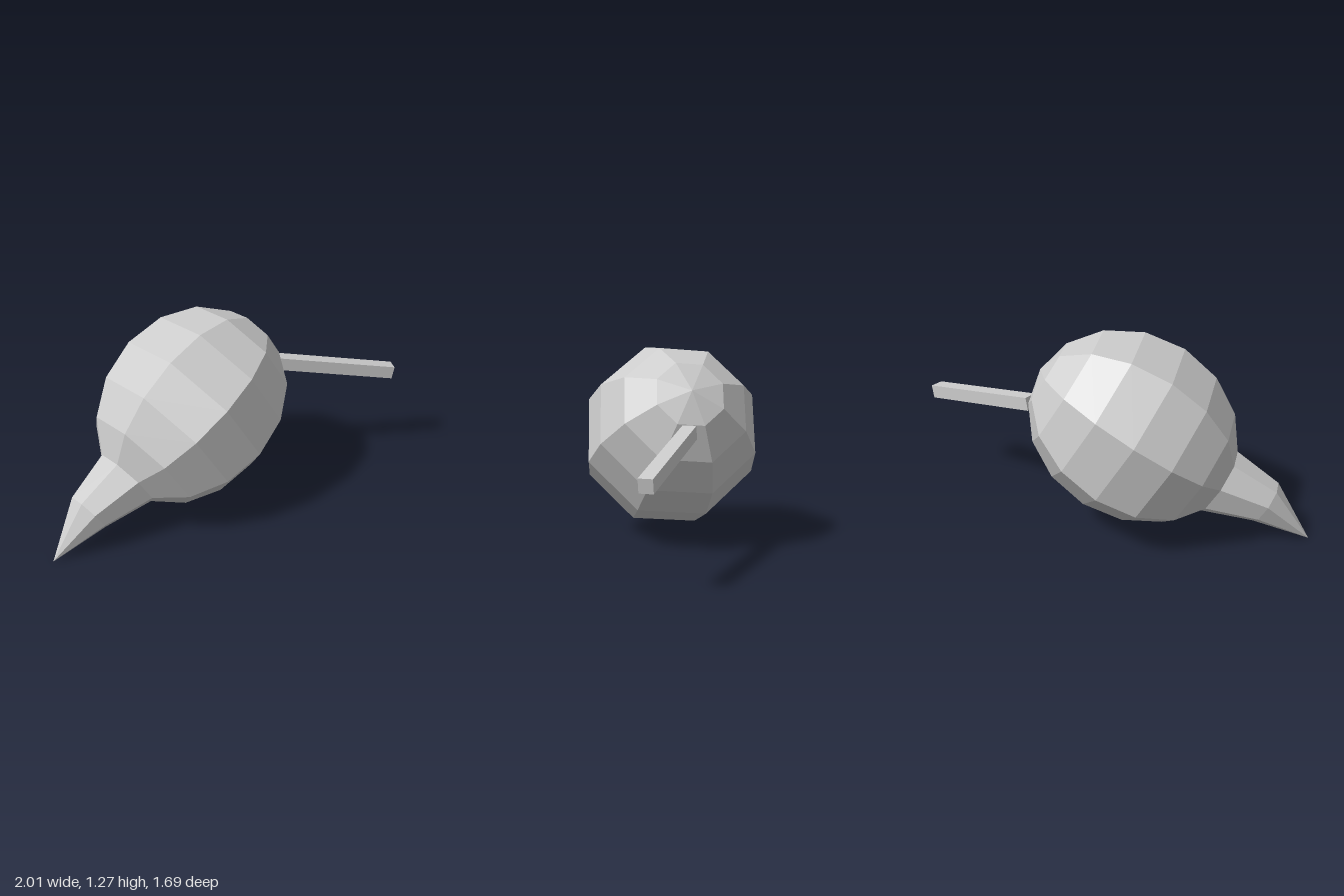
import * as THREE from 'three';

const SIDES = 8;
const PHASE = THREE.MathUtils.degToRad(17);
const CENTER = new THREE.Vector3(-0.283, 0.683, -0.02);

// Tilted frame: axis runs from the pointed tip to the rounded far end
const AXIS = new THREE.Vector3(0.548, 0.518, -0.654).normalize();
const UP = new THREE.Vector3(0, 1, 0).addScaledVector(AXIS, -AXIS.y).normalize();
const SIDE = new THREE.Vector3().crossVectors(AXIS, UP);

const RADIUS = 0.585;
const HALF_LENGTH = 0.68;

function material() {
  return new THREE.MeshStandardMaterial({ color: 0xcccccc, flatShading: true });
}

// Point on a ring: s along the axis, r outward, lift shifts the ring upward
function ringPoint([s, r, lift = 0], j) {
  const a = PHASE + (j / SIDES) * Math.PI * 2;
  return CENTER.clone()
    .addScaledVector(AXIS, s)
    .addScaledVector(UP, r * Math.cos(a) + lift)
    .addScaledVector(SIDE, r * Math.sin(a));
}

// Skin a list of rings; a ring of zero radius closes to a point
function skin(name, rings) {
  const pos = [];
  const tri = (...pts) => pts.forEach((p) => pos.push(p.x, p.y, p.z));
  for (let i = 0; i < rings.length - 1; i++) {
    for (let j = 0; j < SIDES; j++) {
      const a = ringPoint(rings[i], j);
      const b = ringPoint(rings[i], j + 1);
      const c = ringPoint(rings[i + 1], j + 1);
      const d = ringPoint(rings[i + 1], j);
      if (rings[i][1] > 0) tri(a, b, c);
      if (rings[i + 1][1] > 0) tri(a, c, d);
    }
  }
  const geo = new THREE.BufferGeometry();
  geo.setAttribute('position', new THREE.Float32BufferAttribute(pos, 3));
  geo.computeVertexNormals();
  const mesh = new THREE.Mesh(geo, material());
  mesh.name = name;
  return mesh;
}

export function createModel() {
  const group = new THREE.Group();
  group.name = 'model';

  // Faceted egg-shaped body, open where the beak joins
  const bodyRings = [];
  for (let k = 1; k <= 8; k++) {
    const t = (k / 8) * Math.PI;
    bodyRings.push([-HALF_LENGTH * Math.cos(t), k === 8 ? 0 : RADIUS * Math.sin(t)]);
  }
  group.add(skin('body', bodyRings));

  // Beak: drawn out from the first body ring to a slightly drooping point
  group.add(skin('beak', [[-1.315, 0], [-0.95, 0.145, 0.055], bodyRings[0]]));

  // Square stick angled off the far end
  const start = new THREE.Vector3(0.16, 0.79, -0.5);
  const end = new THREE.Vector3(0.982, 0.618, -0.808);
  const stick = new THREE.Mesh(
    new THREE.BoxGeometry(0.086, 0.086, start.distanceTo(end)),
    material()
  );
  stick.name = 'stick';
  stick.position.copy(start).lerp(end, 0.5);
  stick.lookAt(end);
  group.add(stick);

  return group;
}
